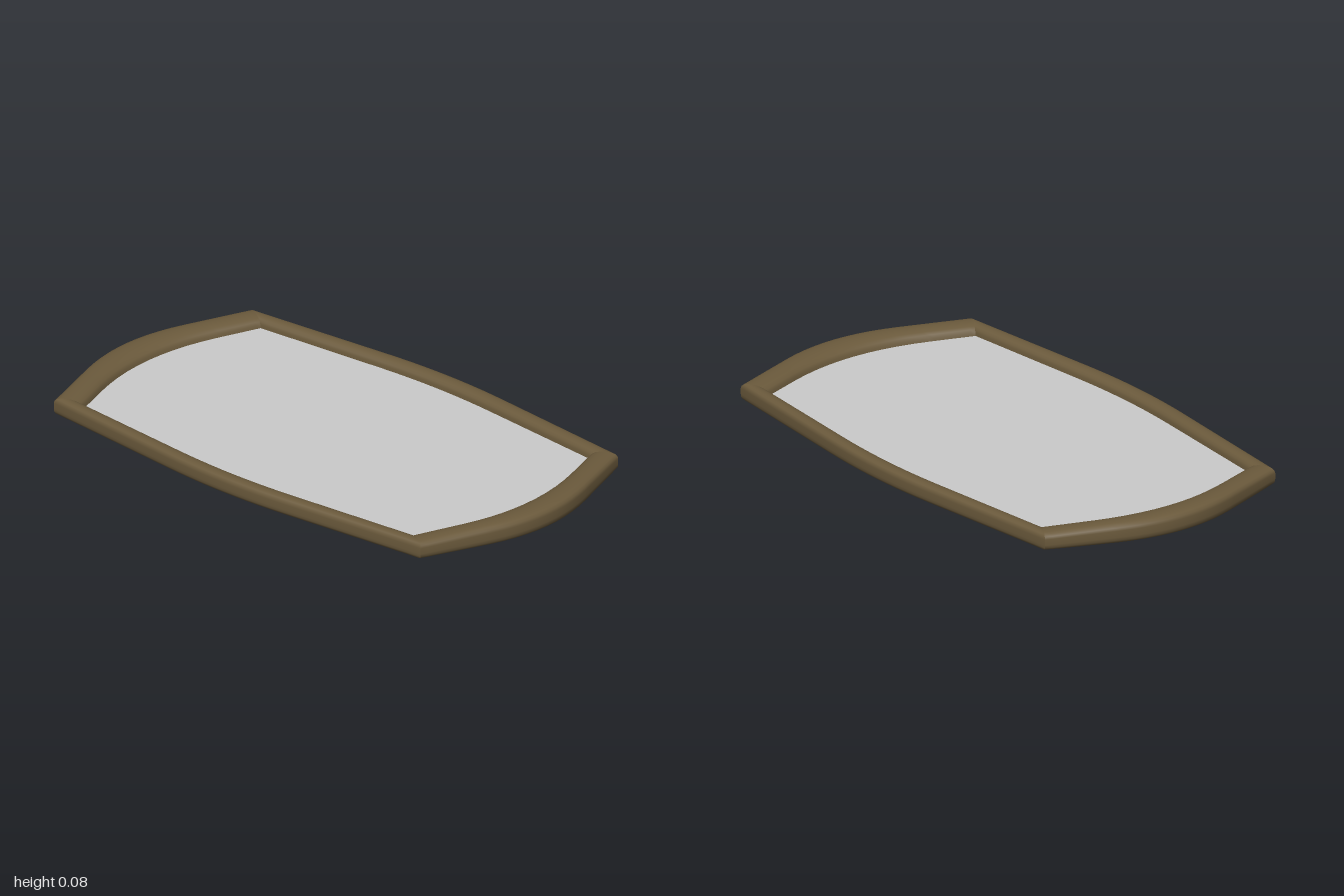
import * as THREE from 'three';

// Rail outline: straight runs from both corners (s = ±c, offset d) with slope k,
// blended by a tangent arc that reaches the apex in the middle.
function railPoints(c, d, apex, k) {
  const a = 2 * (c - (apex - d) / k);
  const knee = d + k * (c - a);
  const path = new THREE.Path();
  path.moveTo(-c, d);
  path.quadraticCurveTo(-(c + a) / 2, (d + knee) / 2, -a, knee);
  path.quadraticCurveTo(0, knee + k * a, a, knee);
  path.quadraticCurveTo((c + a) / 2, (d + knee) / 2, c, d);
  return path.getPoints(10);
}

// Outer and inner outlines for the long sides and the ends
const OUTLINES = {
  side: [railPoints(0.866, 0.5, 0.573, 0.1), railPoints(0.775, 0.45, 0.508, 0.09)],
  end: [railPoints(0.5, 0.866, 1.0, 0.35), railPoints(0.45, 0.775, 0.881, 0.35)],
};

// The four rails in loop order, each mapping (along, outward) to (x, z)
const RAILS = [
  ['leftRail', 'side', (p) => [p.y, -p.x]],
  ['backRail', 'end', (p) => [-p.x, -p.y]],
  ['rightRail', 'side', (p) => [-p.y, p.x]],
  ['frontRail', 'end', (p) => [p.x, p.y]],
];

// Moulding section: [0 = outer edge .. 1 = inner edge, 0 = bottom .. 1 = top]
const SECTION = [
  [0.3, 0], [0.16, 0.01], [0.06, 0.08], [0.01, 0.2], [0, 0.35], [0, 0.68], [0.03, 0.82],
  [0.1, 0.92], [0.22, 0.98], [0.4, 1], [0.6, 0.98], [0.78, 0.91], [0.9, 0.8], [0.97, 0.66], [1, 0.4],
];

// Underside and top bow gently across the width
function height(x, v) {
  const q = Math.min(1, (x / 0.5) ** 2);
  const bottom = 0.009 * q;
  const top = 0.076 - 0.003 * q;
  return bottom + (top - bottom) * v;
}

// Surface through equal-length rows of points
function loft(rows) {
  const n = rows[0].length;
  const index = [];
  for (let i = 0; i < rows.length - 1; i++) {
    for (let j = 0; j < n - 1; j++) {
      const a = i * n + j;
      const b = a + n;
      index.push(a, b, a + 1, b, b + 1, a + 1);
    }
  }
  const geometry = new THREE.BufferGeometry();
  geometry.setAttribute('position', new THREE.Float32BufferAttribute(rows.flat(2), 3));
  geometry.setIndex(index);
  geometry.computeVertexNormals();
  return geometry;
}

export function createModel() {
  const model = new THREE.Group();
  model.name = 'framedPanel';
  const wood = new THREE.MeshStandardMaterial({ color: 0x6b5a3c });
  const grey = new THREE.MeshStandardMaterial({ color: 0xcccccc });

  const frame = new THREE.Group();
  frame.name = 'frame';
  model.add(frame);
  const paneOutline = [];

  for (const [name, kind, place] of RAILS) {
    const [outer, inner] = OUTLINES[kind];
    const mouldingRows = [];
    const backRows = [];
    outer.forEach((o, i) => {
      const section = SECTION.map(([u, v]) => {
        const [x, z] = place(o.clone().lerp(inner[i], u));
        return [x, height(x, v), z];
      });
      mouldingRows.push(section);
      // Underside runs from the centre out to the moulding
      const [ex, , ez] = section[0];
      backRows.push([0, 0.2, 0.4, 0.6, 0.8, 1].map((f) => [ex * f, height(ex * f, 0), ez * f]));
      const [px, pz] = place(inner[i]);
      paneOutline.push(new THREE.Vector2(px, -pz));
    });

    const rail = new THREE.Mesh(loft(mouldingRows), wood);
    rail.name = name;
    const back = new THREE.Mesh(loft(backRows), wood);
    back.name = name.replace('Rail', 'Underside');
    frame.add(rail, back);
  }

  // Flat pane set below the top of the frame; shared corners are dropped
  const corners = paneOutline.filter((p, i) => p.distanceTo(paneOutline.at(i - 1)) > 1e-5);
  const pane = new THREE.Mesh(new THREE.ShapeGeometry(new THREE.Shape(corners)), grey);
  pane.name = 'pane';
  pane.rotation.x = -Math.PI / 2;
  pane.position.y = 0.04;
  model.add(pane);

  return model;
}
